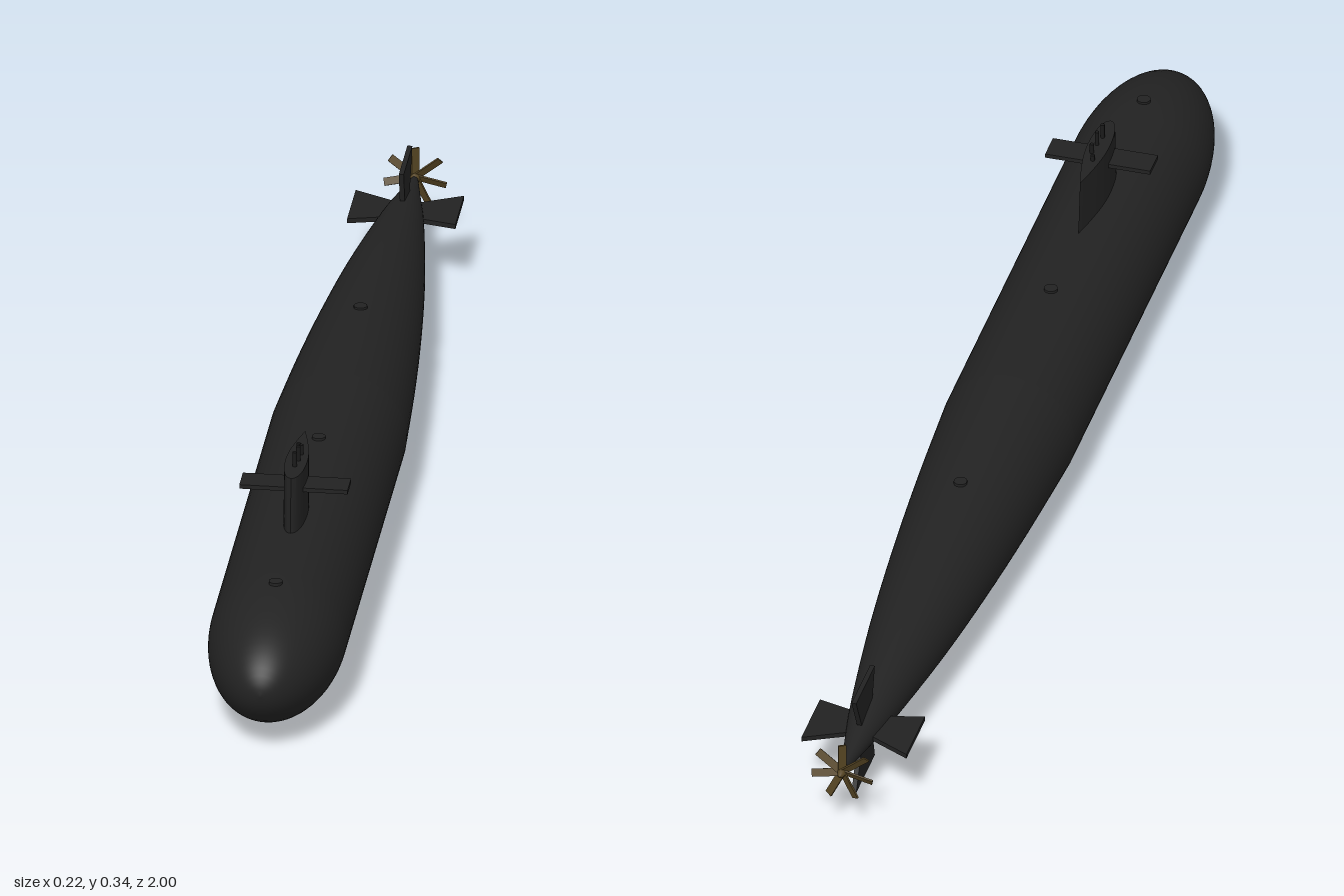
import * as THREE from 'three';
import { toCreasedNormals } from 'three/addons/utils/BufferGeometryUtils.js';

const R = 0.111; // hull radius and height of its axis

function material(name, color) {
  const m = new THREE.MeshStandardMaterial({ color });
  m.name = name;
  return m;
}

export function createModel() {
  const model = new THREE.Group();
  model.name = 'submarine';
  const hullBlack = material('hull black', 0x222222);
  const mastBlack = material('mast black', 0x1a1a1a);
  const bronze = material('propeller bronze', 0x554422);

  function add(parent, name, geometry, mat, x = 0, y = 0, z = 0) {
    const mesh = new THREE.Mesh(geometry, mat);
    mesh.name = name;
    mesh.position.set(x, y, z);
    parent.add(mesh);
    return mesh;
  }

  // Body of revolution along z, profile given as [radius, z] from aft to fore
  function revolve(profile, segments = 64) {
    const points = profile.map(([r, z]) => new THREE.Vector2(r, z));
    return new THREE.LatheGeometry(points, segments).rotateX(Math.PI / 2);
  }

  // Forward hull: straight cylinder with an elliptical bow
  const bow = [[R, 0], [R, 0.4]];
  for (let i = 0; i <= 16; i++) {
    const a = (i / 16) * Math.PI / 2;
    bow.push([R * Math.cos(a), 0.76 + 0.24 * Math.sin(a)]);
  }
  add(model, 'forwardHull', revolve(bow), hullBlack, 0, R);

  // Long convex tail cone
  const tailCurve = new THREE.SplineCurve([
    [0.004, -0.985], [0.02, -0.9], [0.038, -0.8], [0.065, -0.6],
    [0.085, -0.4], [0.1, -0.2], [R, 0],
  ].map(([r, z]) => new THREE.Vector2(r, z)));
  const tail = tailCurve.getPoints(24).map((p) => [p.x, p.y]);
  add(model, 'tailCone', revolve([[0, -0.985], ...tail]), hullBlack, 0, R);

  // Sail: streamlined section, tapering slightly towards its top
  const base = 0.2, height = 0.115, middle = 0.514;
  const section = new THREE.Shape();
  section.moveTo(0, -0.102);
  section.bezierCurveTo(0.014, -0.1, 0.018, -0.055, 0.018, -0.02);
  section.bezierCurveTo(0.018, 0.02, 0.008, 0.07, 0, 0.104);
  section.bezierCurveTo(-0.008, 0.07, -0.018, 0.02, -0.018, -0.02);
  section.bezierCurveTo(-0.018, -0.055, -0.014, -0.1, 0, -0.102);
  const sail = new THREE.ExtrudeGeometry(section, { depth: height, bevelEnabled: false, curveSegments: 10 });
  sail.rotateX(-Math.PI / 2);
  const p = sail.attributes.position;
  for (let i = 0; i < p.count; i++) {
    p.setZ(i, p.getZ(i) * (1 - 0.12 * p.getY(i) / height));
  }
  add(model, 'sail', toCreasedNormals(sail, 0.6), hullBlack, 0, base, middle);

  // Diving planes on the sail
  for (const side of [-1, 1]) {
    add(model, side > 0 ? 'leftSailPlane' : 'rightSailPlane',
      new THREE.BoxGeometry(0.073, 0.007, 0.046), hullBlack, side * 0.0515, 0.281, 0.55);
  }

  // Periscope and masts
  for (const [x, z, top] of [[0, 0.556, 0.34], [0.003, 0.534, 0.34], [0.005, 0.51, 0.332], [-0.002, 0.49, 0.325]]) {
    const length = top - 0.3;
    add(model, 'mast', new THREE.CylinderGeometry(0.0035, 0.0035, length, 10), mastBlack, x, 0.3 + length / 2, z);
  }

  // Deck hatches
  for (const [y, z] of [[0.2205, 0.8], [0.222, 0.25], [0.205, -0.285]]) {
    add(model, 'hatch', new THREE.CylinderGeometry(0.011, 0.011, 0.008, 16), hullBlack, 0, y, z);
  }

  // Cross of four stern fins, wider at the tip than at the root
  const finShape = new THREE.Shape([[0.012, -0.878], [0.088, -0.916], [0.088, -0.806], [0.012, -0.825]]
    .map(([r, z]) => new THREE.Vector2(r, z)));
  const finGeometry = new THREE.ExtrudeGeometry(finShape, { depth: 0.008, bevelEnabled: false });
  finGeometry.translate(0, 0, -0.004).rotateX(Math.PI / 2);
  ['leftFin', 'topFin', 'rightFin', 'bottomFin'].forEach((name, i) => {
    add(model, name, finGeometry, hullBlack, 0, R).rotation.z = i * Math.PI / 2;
  });

  // Propeller: hub with seven pitched blades
  const propeller = new THREE.Group();
  propeller.name = 'propeller';
  propeller.position.set(0, R, -0.985);
  model.add(propeller);
  add(propeller, 'hub', revolve([[0, -0.015], [0.005, -0.011], [0.008, 0], [0.008, 0.012], [0, 0.012]], 16), bronze);
  const blade = new THREE.BoxGeometry(0.013, 0.048, 0.003);
  blade.rotateY(0.5).translate(0, 0.028, 0);
  for (let i = 0; i < 7; i++) {
    add(propeller, 'blade', blade, bronze).rotation.z = (i * Math.PI * 2) / 7;
  }
  return model;
}
